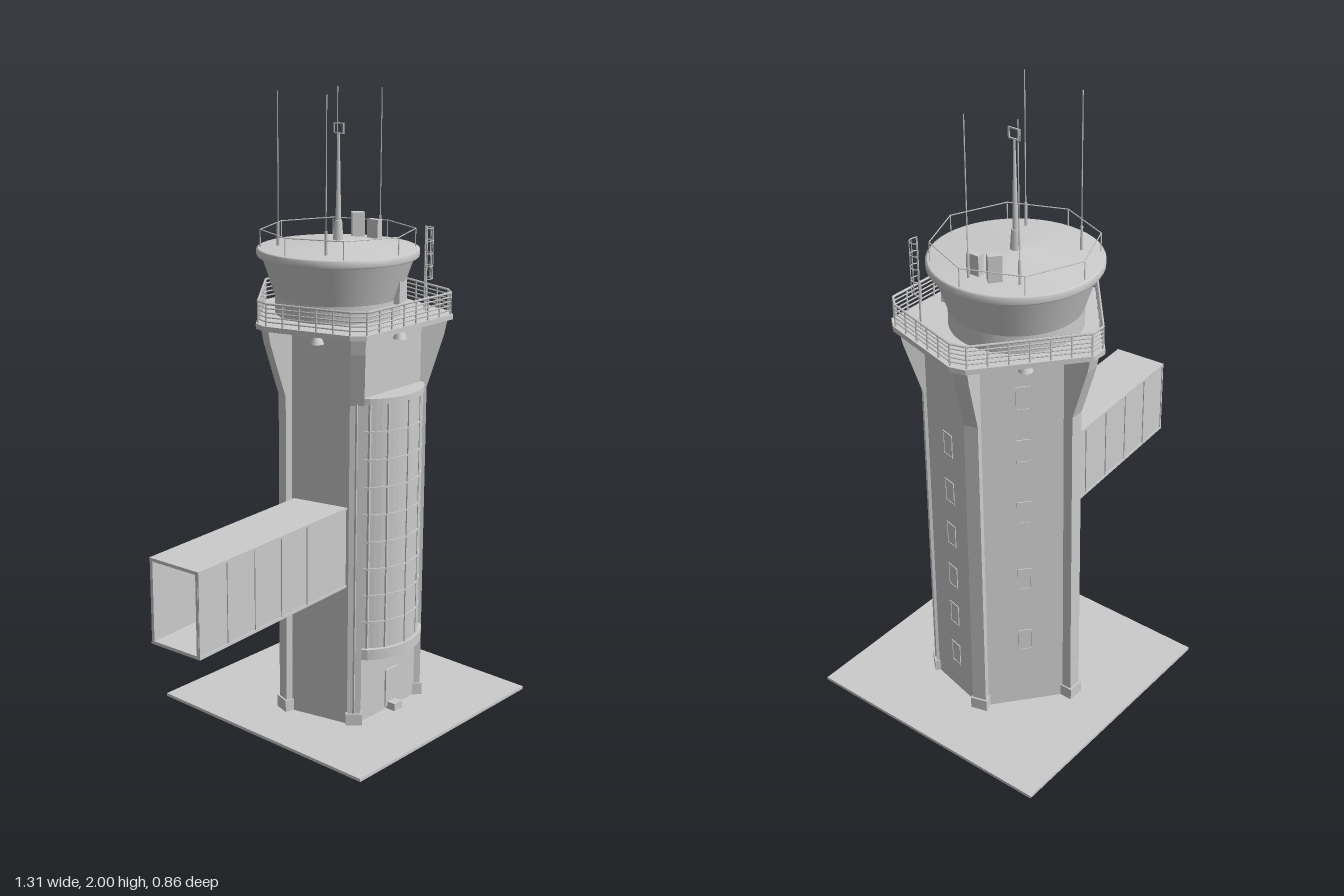
import * as THREE from 'three';

const mat = new THREE.MeshStandardMaterial({ color: 0xcccccc });
const thin = new THREE.MeshStandardMaterial({ color: 0xcccccc, side: THREE.DoubleSide });

function add(parent, name, geo, x = 0, y = 0, z = 0, m = mat) {
  const mesh = new THREE.Mesh(geo, m);
  mesh.name = name;
  mesh.position.set(x, y, z);
  parent.add(mesh);
  return mesh;
}
function group(parent, name, x = 0, y = 0, z = 0, ry = 0) {
  const g = new THREE.Group();
  g.name = name;
  g.position.set(x, y, z);
  g.rotation.y = ry;
  parent.add(g);
  return g;
}
const box = (parent, name, w, h, d, x, y, z) => add(parent, name, new THREE.BoxGeometry(w, h, d), x, y, z);

// Vertical prism over a floor plan of [x, z] points
function prism(parent, name, pts, y0, y1) {
  const shape = new THREE.Shape(pts.map(([x, z]) => new THREE.Vector2(x, -z)));
  const geo = new THREE.ExtrudeGeometry(shape, { depth: y1 - y0, bevelEnabled: false });
  return add(parent, name, geo.rotateX(-Math.PI / 2), 0, y0, 0);
}
// Thin round bar between two points
function bar(parent, name, a, b, r = 0.002) {
  const p = new THREE.Vector3(...a), q = new THREE.Vector3(...b);
  const d = q.clone().sub(p);
  const mesh = add(parent, name, new THREE.CylinderGeometry(r, r, d.length(), 5));
  mesh.position.copy(p).add(q).multiplyScalar(0.5);
  mesh.quaternion.setFromUnitVectors(new THREE.Vector3(0, 1, 0), d.normalize());
}

// Glazed bay: local +z points out of the wall
function bay(parent, name, plan, y0, y1, rows, columns) {
  const grow = (k) => plan.map(([x, z]) => [x * (1 + k), z > 0 ? z + k * 0.15 : z]);
  const g = group(parent, name);
  prism(g, 'glazing', plan, y0, y1);
  prism(g, 'baySill', grow(0.08), y0 - 0.005, y0 + 0.03);
  prism(g, 'bayCap', grow(0.05), y1 - 0.015, y1 + 0.003);
  for (let i = 1; i < rows; i++) {
    const y = y0 + 0.03 + (i * (y1 - y0 - 0.045)) / rows;
    prism(g, 'transom', grow(0.025), y - 0.003, y + 0.003);
  }
  for (const [x, z] of columns) box(g, 'mullion', 0.007, y1 - y0, 0.008, x, (y0 + y1) / 2, z);
  return g;
}

export function createModel() {
  const root = new THREE.Group();
  root.name = 'controlTower';
  box(root, 'groundSlab', 0.855, 0.01, 0.855, 0.2275, 0.005, -0.0025);

  const tower = group(root, 'tower', 0.22);

  // Shaft: five-sided core with a flared pillar on each corner
  const walls = [[0.17, 0.185], [0.228, -0.062], [0, -0.252], [-0.228, -0.062], [-0.17, 0.185]];
  prism(tower, 'shaft', walls, 0.01, 1.3);
  const corners = [
    { p: [0.168, 0.183], d: [0.74, 0.67] },
    { p: [0.237, -0.064], d: [0.956, -0.29] },
    { p: [0, -0.265], d: [0, -1] },
    { p: [-0.237, -0.064], d: [-0.956, -0.29] },
    { p: [-0.168, 0.183], d: [-0.74, 0.67] },
  ];
  const profile = [[-0.07, 0], [0, 0], [0, 1.08], [0.052, 1.25], [0.062, 1.3], [-0.07, 1.3]];
  const finGeo = new THREE.ExtrudeGeometry(new THREE.Shape(profile.map((p) => new THREE.Vector2(...p))),
    { depth: 0.044, bevelEnabled: false }).translate(0, 0, -0.022);
  const deck = [], rail = [];
  for (const { p, d } of corners) {
    const g = group(tower, 'pillar', p[0], 0, p[1], Math.atan2(-d[1], d[0]));
    add(g, 'flaredFin', finGeo);
    box(g, 'pillarShoe', 0.06, 0.045, 0.054, -0.024, 0.0275, 0);
    for (const s of [1, -1]) {
      const at = (r) => [p[0] + d[0] * r + s * 0.025 * d[1], p[1] + d[1] * r - s * 0.025 * d[0]];
      deck.push(at(0.078));
      rail.push(at(0.07));
    }
  }
  // Keep corner points in walking order around the deck
  const byAngle = (a, b) => Math.atan2(a[1] + 0.03, a[0]) - Math.atan2(b[1] + 0.03, b[0]);
  deck.sort(byAngle);
  rail.sort(byAngle);

  // Gallery deck and railing
  prism(tower, 'galleryDeck', deck, 1.298, 1.314);
  const railing = group(tower, 'galleryRailing');
  rail.forEach(([x, z], i) => {
    const [x2, z2] = rail[(i + 1) % rail.length];
    for (let k = 0; k < 5; k++) {
      const y = 1.328 + k * 0.0138;
      bar(railing, 'railBar', [x, y, z], [x2, y, z2], k === 4 ? 0.004 : 0.0025);
    }
    const n = Math.max(1, Math.round(Math.hypot(x2 - x, z2 - z) / 0.055));
    for (let k = 0; k < n; k++) {
      const px = x + ((x2 - x) * k) / n, pz = z + ((z2 - z) * k) / n;
      bar(railing, 'railPost', [px, 1.31, pz], [px, 1.385, pz], 0.003);
    }
  });

  // Curved front bay
  const arc = [];
  const R = 0.183, half = Math.asin(0.14 / R);
  for (let i = 0; i <= 16; i++) {
    const a = -half + (2 * half * i) / 16;
    arc.push([Math.sin(a) * R, Math.cos(a) * R - R * Math.cos(half)]);
  }
  const front = bay(tower, 'frontBay', arc, 0.24, 1.095, 9, [1, 4, 8, 12, 15].map((i) => arc[i]));
  front.position.z = 0.185;

  // Local frame in the middle of a wall, +z outwards
  const wallFrame = (i, name) => {
    const [a, b] = [walls[i], walls[i + 1]];
    const mx = (a[0] + b[0]) / 2, mz = (a[1] + b[1]) / 2;
    return group(tower, name, mx, 0, mz, Math.atan2(a[1] - b[1], b[0] - a[0]) + Math.PI);
  };
  // Faceted rear bay
  const facets = [[-0.095, -0.01], [-0.09, 0.012], [-0.045, 0.035], [0.045, 0.035], [0.09, 0.012], [0.095, -0.01]];
  bay(wallFrame(2, 'rearBayWall'), 'rearBay', facets, 0.13, 1.22, 10, facets.slice(1, 5));

  // Small framed windows on the plain walls
  const windows = (i, ys) => {
    const g = wallFrame(i, 'windowWall');
    for (const y of ys) {
      box(g, 'windowPane', 0.036, 0.07, 0.004, 0, y, 0.001);
      for (const s of [-1, 1]) {
        box(g, 'windowJamb', 0.005, 0.08, 0.01, s * 0.02, y, 0.002);
        box(g, 'windowRail', 0.045, 0.005, 0.01, 0, y + s * 0.0375, 0.002);
      }
    }
  };
  windows(0, [0.15, 0.31, 0.46, 0.62, 0.78, 0.95]);
  windows(1, [0.26, 0.5, 0.75, 0.97, 1.15]);

  // Front door, step and lamps under the deck
  box(tower, 'door', 0.06, 0.13, 0.008, 0.015, 0.085, 0.186);
  box(tower, 'doorStep', 0.04, 0.025, 0.04, 0.015, 0.0225, 0.2);
  for (const [x, z] of [[0, 0.21], [0.225, 0.07], [-0.225, 0.07], [0.14, -0.19], [-0.14, -0.19]]) {
    add(tower, 'deckLamp', new THREE.CylinderGeometry(0.01, 0.022, 0.03, 10), x, 1.28, z);
  }

  // Cab with flared glazing and shallow cone roof
  const cab = group(tower, 'cab', -0.005, 0, -0.04);
  const lathe = (name, pts) => add(cab, name,
    new THREE.LatheGeometry(pts.map((p) => new THREE.Vector2(...p)), 48), 0, 0, 0, thin);
  lathe('cabBase', [[0.198, 1.31], [0.198, 1.37]]);
  lathe('cabGlazing', [[0.198, 1.37], [0.24, 1.495]]);
  lathe('roofSoffit', [[0.0, 1.495], [0.253, 1.495]]);
  lathe('roofEdge', [[0.253, 1.495], [0.256, 1.5], [0.256, 1.518], [0.25, 1.521]]);
  lathe('roof', [[0.25, 1.521], [0.0, 1.545]]);
  const door = box(cab, 'cabDoor', 0.075, 0.1, 0.02, 0.075, 1.41, 0.192);
  door.rotation.y = 0.37;

  // Roof railing
  const oct = (i, y) => [0.243 * Math.cos((i * Math.PI) / 4), y, 0.243 * Math.sin((i * Math.PI) / 4)];
  for (let i = 0; i < 8; i++) {
    bar(cab, 'roofRailPost', oct(i, 1.515), oct(i, 1.578), 0.0018);
    bar(cab, 'roofRail', oct(i, 1.577), oct(i + 1, 1.577), 0.0018);
  }

  // Caged ladder from gallery to roof
  const ladder = group(cab, 'ladder', 0.19, 0, 0.2, Math.PI / 4);
  for (const s of [-1, 1]) bar(ladder, 'ladderRail', [s * 0.02, 1.314, 0], [s * 0.02, 1.585, 0], 0.0025);
  for (let y = 1.33; y < 1.58; y += 0.02) bar(ladder, 'rung', [-0.02, y, 0], [0.02, y, 0], 0.0018);
  for (let y = 1.42; y < 1.59; y += 0.04) {
    const hoop = add(ladder, 'cageHoop', new THREE.TorusGeometry(0.022, 0.0018, 5, 12, Math.PI), 0, y, 0);
    hoop.rotation.x = Math.PI / 2;
  }
  for (const a of [0.25, 0.5, 0.75]) {
    const x = 0.022 * Math.cos(a * Math.PI), z = 0.022 * Math.sin(a * Math.PI);
    bar(ladder, 'cageStrap', [x, 1.42, z], [x, 1.58, z], 0.0015);
  }

  // Centre mast with a small square frame, whip aerials and roof units
  add(cab, 'mastBase', new THREE.CylinderGeometry(0.012, 0.017, 0.07, 10), 0, 1.57, 0);
  add(cab, 'mast', new THREE.CylinderGeometry(0.003, 0.009, 0.27, 8), 0, 1.735, 0);
  for (const s of [-1, 1]) {
    box(cab, 'mastFrame', 0.004, 0.004, 0.042, 0, 1.887 + s * 0.015, 0);
    box(cab, 'mastFrame', 0.004, 0.034, 0.004, 0, 1.887, s * 0.019);
  }
  for (const [x, z] of [[0.08, -0.17], [0.05, 0.056], [0.354, -0.167], [0.408, -0.03]]) {
    bar(root, 'aerialBase', [x, 1.52, z], [x, 1.6, z], 0.0045);
    bar(root, 'whipAerial', [x, 1.6, z], [x, 2, z], 0.0018);
  }
  box(root, 'roofUnit', 0.04, 0.085, 0.03, 0.378, 1.564, -0.098).rotation.y = -0.7;
  box(root, 'roofUnit', 0.022, 0.07, 0.044, 0.38, 1.555, -0.03);

  // Open-ended bridge with frames along both sides
  const bridge = group(root, 'bridge', 0.05, 0, 0.061, Math.atan2(-0.9976, 0.07));
  const rect = (s, w, y0, y1) => s.moveTo(-w, y0).lineTo(w, y0).lineTo(w, y1).lineTo(-w, y1).closePath();
  const section = rect(new THREE.Shape(), 0.09, 0.482, 0.748);
  section.holes.push(rect(new THREE.Path(), 0.082, 0.492, 0.738));
  add(bridge, 'bridgeTube', new THREE.ExtrudeGeometry(section, { depth: 0.702, bevelEnabled: false }));
  for (const s of [-1, 1]) {
    for (let i = 0; i < 5; i++) box(bridge, 'bridgeFrame', 0.004, 0.266, 0.006, s * 0.091, 0.615, 0.21 + i * 0.122);
    for (const y of [0.486, 0.744]) box(bridge, 'bridgeTrim', 0.006, 0.008, 0.702, s * 0.0905, y, 0.351);
  }
  return root;
}
